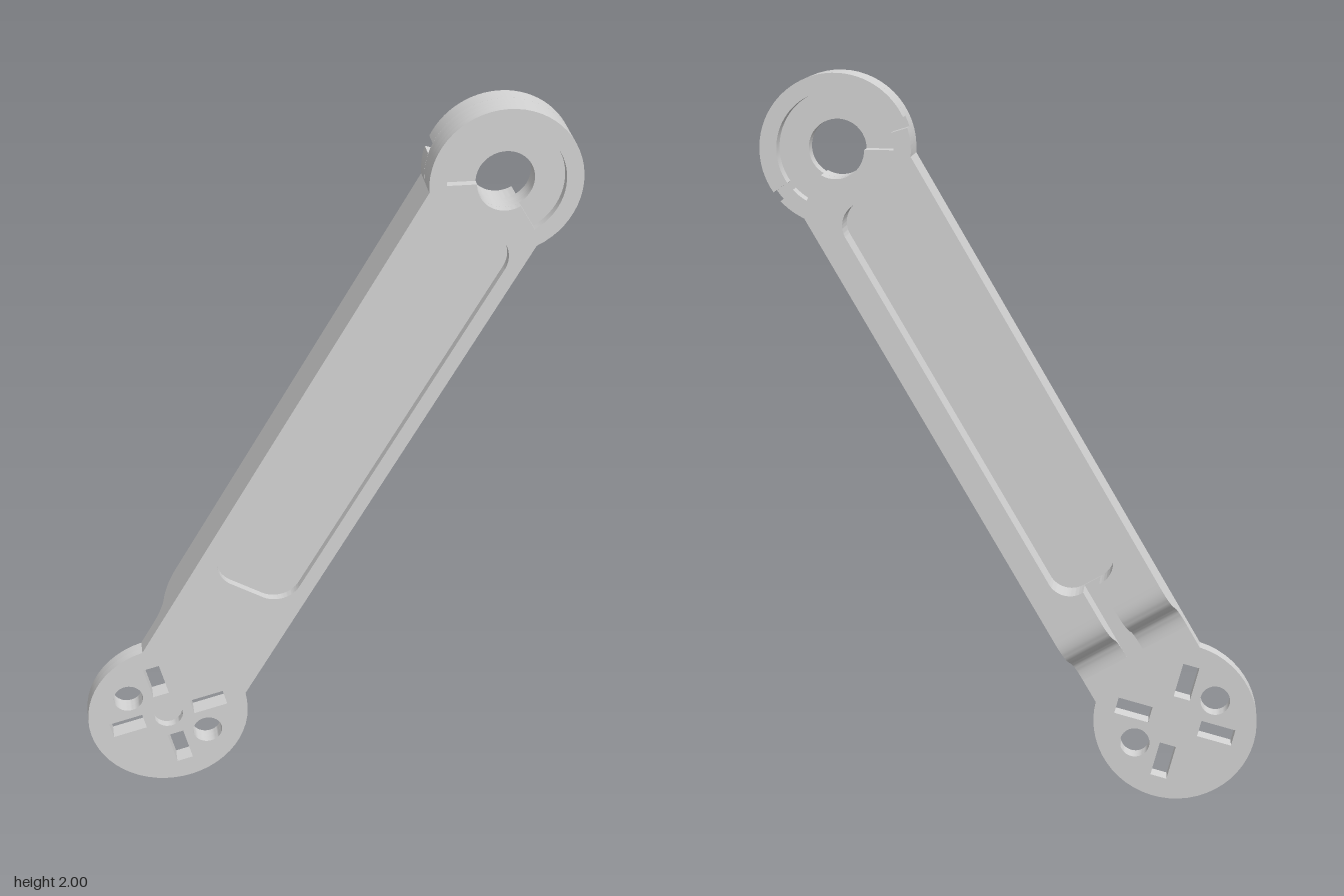
import * as THREE from 'three';
import { toCreasedNormals } from 'three/addons/utils/BufferGeometryUtils.js';

const L = 1.819;              // distance between disc centre and ring centre
const W = 0.164;              // half width of the arm
const DISC = 0.225, RING = 0.2, RECESS = 0.155, BORE = 0.077;
const SPLIT = 0.385;          // where the stepped end meets the straight body
const CHANNEL = 0.025;        // half width of the cable channel
const BACK_POCKET = [0.095, 0.46, 1.67, 0.065];   // half width, bottom, top, corner radius
const FRONT_POCKET = [0.125, 0.458, 1.683, 0.075];
const rad = THREE.MathUtils.degToRad;
const discA = Math.acos(W / DISC), ringA = Math.acos(W / RING);

export function createModel() {
  const grey = new THREE.MeshStandardMaterial({ color: 0xd4d4d4 });
  grey.name = 'lightGrey';
  const arm = new THREE.Group();
  arm.name = 'arm';

  const add = (name, geometry) => {
    const mesh = new THREE.Mesh(toCreasedNormals(geometry, 0.5), grey);
    mesh.name = name;
    arm.add(mesh);
  };
  const layer = (name, shape, z0, z1) => {
    const g = new THREE.ExtrudeGeometry(shape, { depth: z1 - z0, bevelEnabled: false, curveSegments: 20 });
    add(name, g.translate(0, 0, z0));
  };
  const circle = (x, y, r) => new THREE.Path().absarc(x, y, r, 0, Math.PI * 2, false);

  // Clockwise rounded rectangle, starting on its lower edge
  const pocket = (path, [w, y0, y1, r]) => {
    path.absarc(-w + r, y0 + r, r, -Math.PI / 2, -Math.PI, true);
    path.absarc(-w + r, y1 - r, r, Math.PI, Math.PI / 2, true);
    path.absarc(w - r, y1 - r, r, Math.PI / 2, 0, true);
    path.absarc(w - r, y0 + r, r, 0, -Math.PI / 2, true);
    return path;
  };
  const closedPocket = (p) => {
    const path = pocket(new THREE.Path(), p);
    path.closePath();
    return path;
  };

  // Disc, arm and ring in one silhouette
  const outline = (holes) => {
    const s = new THREE.Shape();
    s.absarc(0, 0, DISC, Math.PI - discA, Math.PI * 2 + discA, false);
    s.absarc(0, L, RING, -ringA, Math.PI + ringA, false);
    s.closePath();
    s.holes.push(...holes);
    return s;
  };

  // Two round screw holes and four radial slots through the disc
  const screwHoles = () => {
    const holes = [circle(-0.127, 0, 0.041), circle(0.127, 0, 0.041)];
    for (const deg of [45, 135, 225, 315]) {
      const c = Math.cos(rad(deg)), s = Math.sin(rad(deg));
      const corners = [[0.07, -0.023], [0.167, -0.023], [0.167, 0.023], [0.07, 0.023]];
      const p = new THREE.Path().setFromPoints(
        corners.map(([u, v]) => new THREE.Vector2(u * c - v * s, u * s + v * c)));
      p.closePath();
      holes.push(p);
    }
    return holes;
  };

  // C-shaped recess joined to the bore
  const ringRecess = new THREE.Path();
  ringRecess.absarc(0, L, RECESS, rad(-30), rad(210), false);
  ringRecess.absarc(0, L, BORE, rad(210), rad(330), false);
  ringRecess.closePath();

  // Front layers: rim, web, and the back of the plate
  layer('frontRim', outline([...screwHoles(), circle(0, 0, 0.041), closedPocket(FRONT_POCKET), ringRecess]), 0.04, 0.063);
  layer('web', outline([...screwHoles(), circle(0, L, BORE)]), 0.022, 0.04);
  layer('plateBack', outline([...screwHoles(), circle(0, L, BORE), closedPocket(BACK_POCKET)]), 0.013, 0.022);

  // Thick body with the open pocket and cable channel; drawRing traces its upper end
  const body = (drawRing) => {
    const s = new THREE.Shape();
    s.moveTo(CHANNEL, SPLIT);
    s.lineTo(W, SPLIT);
    drawRing(s);
    s.lineTo(-W, SPLIT);
    s.lineTo(-CHANNEL, SPLIT);
    s.lineTo(-CHANNEL, BACK_POCKET[1]);
    pocket(s, BACK_POCKET);
    s.lineTo(CHANNEL, BACK_POCKET[1]);
    s.closePath();
    return s;
  };
  const midBody = body((s) => s.absarc(0, L, RING, -ringA, Math.PI + ringA, false));
  midBody.holes.push(circle(0, L, BORE));
  layer('middleBody', midBody, -0.013, 0.013);

  // Back rim, cut by the ring recess and the two side notches
  const low = rad(-13), high = rad(-4.5);
  layer('backRim', body((s) => {
    s.absarc(0, L, RING, -ringA, low, false);
    s.absarc(0, L, RECESS, low, rad(-30), true);
    s.absarc(0, L, BORE, rad(-30), rad(-150), true);
    s.absarc(0, L, RECESS, rad(210), Math.PI - low, true);
    s.absarc(0, L, RING, Math.PI - low, Math.PI + ringA, false);
  }), -0.063, -0.013);
  const band = new THREE.Shape();
  band.absarc(0, L, RING, high, Math.PI - high, false);
  band.absarc(0, L, RECESS, Math.PI - high, high, true);
  band.closePath();
  layer('backRingBand', band, -0.063, -0.013);

  // Curved step down to the disc, on either side of the channel
  const step = new THREE.Shape();
  step.moveTo(-0.013, 0.225);
  step.lineTo(-0.013, SPLIT);
  step.lineTo(0.063, SPLIT);
  step.lineTo(0.063, 0.37);
  step.bezierCurveTo(0.063, 0.33, 0.045, 0.305, 0.018, 0.292);
  step.bezierCurveTo(-0.002, 0.283, -0.013, 0.26, -0.013, 0.225);
  for (const x of [-W, CHANNEL]) {
    const g = new THREE.ExtrudeGeometry(step, { depth: W - CHANNEL, bevelEnabled: false, curveSegments: 10 });
    add(x < 0 ? 'rightStep' : 'leftStep', g.rotateY(Math.PI / 2).translate(x, 0, 0));
  }

  // Lean the arm and stand it on the ground
  arm.rotation.z = rad(-30);
  arm.position.set(-0.443, 0.225, 0);
  const model = new THREE.Group();
  model.name = 'motorArm';
  model.add(arm);
  return model;
}
